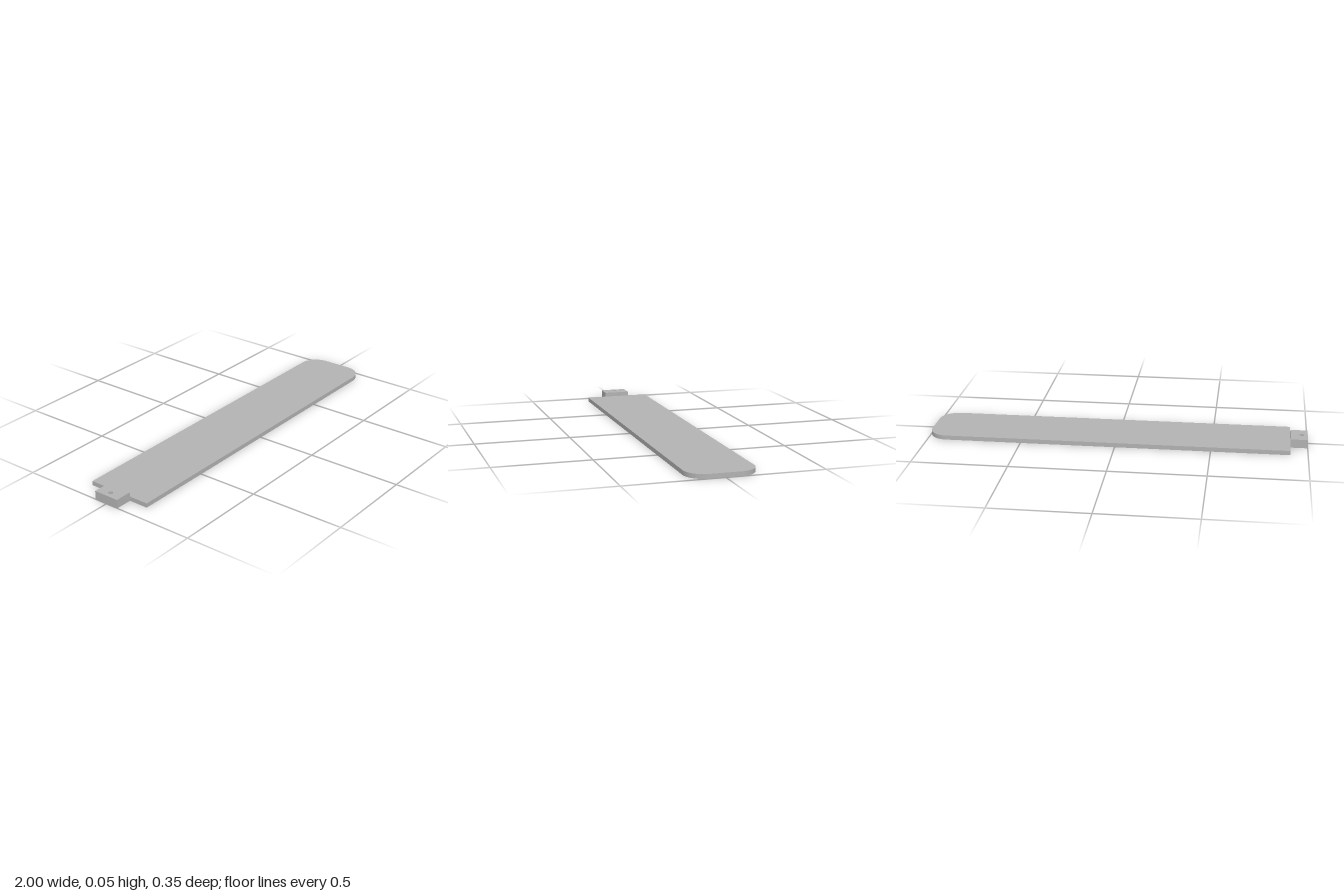
import * as THREE from 'three';
import { toCreasedNormals } from 'three/addons/utils/BufferGeometryUtils.js';

// Lay a plan outline flat and raise it from y = 0 to the given height
function plate(name, shape, height, material) {
  const geometry = new THREE.ExtrudeGeometry(shape, { depth: height, bevelEnabled: false, curveSegments: 16 });
  geometry.rotateX(-Math.PI / 2);
  const mesh = new THREE.Mesh(toCreasedNormals(geometry, 0.6), material);
  mesh.name = name;
  return mesh;
}

export function createModel() {
  const group = new THREE.Group();
  group.name = 'flatBlade';
  const grey = new THREE.MeshStandardMaterial({ color: 0xb2b2b2 });
  grey.name = 'grey';

  // Long blade with two rounded corners at the +x end
  const x0 = -0.91, x1 = 1, w = 0.176, r = 0.1;
  const blade = new THREE.Shape();
  blade.moveTo(x0, -w);
  blade.lineTo(x1 - r, -w);
  blade.absarc(x1 - r, -w + r, r, -Math.PI / 2, 0, false);
  blade.lineTo(x1, w - r);
  blade.absarc(x1 - r, w - r, r, 0, Math.PI / 2, false);
  blade.lineTo(x0, w);
  blade.closePath();
  group.add(plate('blade', blade, 0.023, grey));

  // Thicker mounting tab with a through hole
  const t = 0.07;
  const tab = new THREE.Shape([
    new THREE.Vector2(-1, -t), new THREE.Vector2(x0, -t),
    new THREE.Vector2(x0, t), new THREE.Vector2(-1, t),
  ]);
  const hole = new THREE.Path();
  hole.absarc(-0.967, 0, 0.012, 0, Math.PI * 2, true);
  tab.holes.push(hole);
  group.add(plate('mountingTab', tab, 0.046, grey));

  return group;
}
